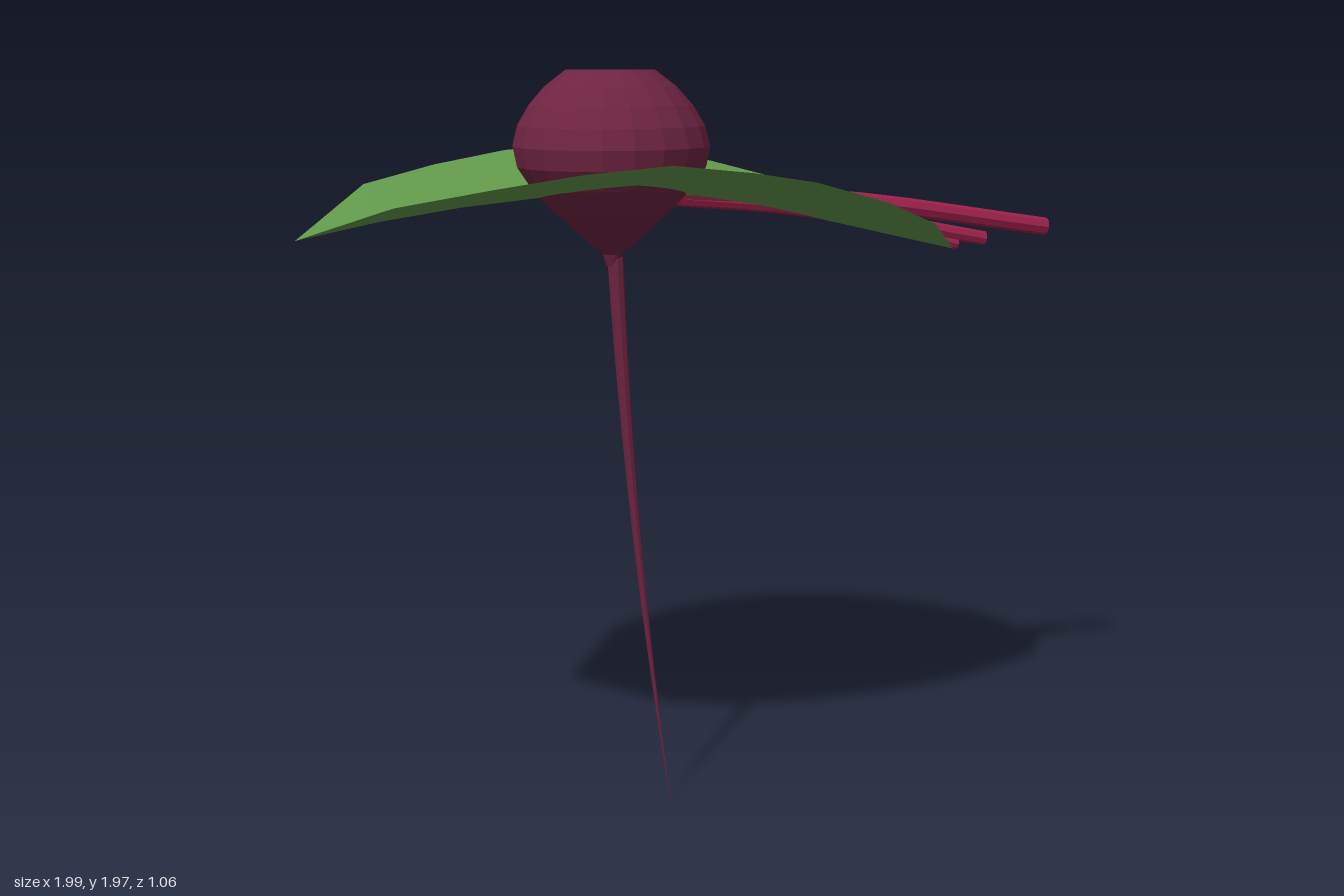
import * as THREE from 'three';

const mat = (name, color, extra = {}) => {
  const m = new THREE.MeshStandardMaterial({ color, flatShading: true, ...extra });
  m.name = name;
  return m;
};

export function createModel() {
  const group = new THREE.Group();
  const skin = mat('beet skin', 0x6e2441);
  const stalk = mat('stalk red', 0x9a2049);
  const green = mat('leaf green', 0x62994a, { side: THREE.DoubleSide });
  const add = (name, geo, material) => {
    const mesh = new THREE.Mesh(geo, material);
    mesh.name = name;
    group.add(mesh);
    return mesh;
  };

  // Bulb: turned profile with a flat cut top and a pointed base
  const profile = [[0.015, 1.48], [0.025, 1.51], [0.06, 1.54], [0.11, 1.585], [0.16, 1.63], [0.205, 1.68],
    [0.238, 1.73], [0.248, 1.78], [0.235, 1.83], [0.205, 1.88], [0.165, 1.925], [0.112, 1.965], [0, 1.965]];
  const bulb = new THREE.LatheGeometry(profile.map(([r, y]) => new THREE.Vector2(r, y)), 20);
  add('bulb', bulb, skin).position.x = -0.218;

  // Tap root: tapering cylinder bent along a gentle curve
  const root = new THREE.CylinderGeometry(0.021, 0.001, 1.5, 8, 12);
  root.translate(0, 0.75, 0);
  const rp = root.attributes.position;
  for (let i = 0; i < rp.count; i++) {
    const t = rp.getY(i) / 1.5;
    rp.setX(i, rp.getX(i) - 0.07 - 0.215 * t + 0.075 * t * t);
  }
  root.computeVertexNormals();
  add('tapRoot', root, skin);

  // Leaf: stations of x, half width, midrib height and rim height
  const stations = [
    [-1, 0, 1.565, 1.565], [-0.8, 0.38, 1.605, 1.67], [-0.6, 0.48, 1.635, 1.712], [-0.4, 0.525, 1.655, 1.745],
    [-0.2, 0.528, 1.66, 1.762], [0, 0.495, 1.65, 1.74], [0.17, 0.44, 1.622, 1.712], [0.4, 0.325, 1.57, 1.65],
    [0.57, 0.22, 1.53, 1.585], [0.72, 0, 1.495, 1.495]];
  const across = [-1, -0.85, -0.6, -0.3, 0, 0.3, 0.6, 0.85, 1];
  const verts = [], faces = [];
  stations.forEach(([x, w, mid, rim], i) => across.forEach((s, j) => {
    verts.push(x, mid + (rim - mid) * Math.pow(Math.abs(s), 1.15), s * w);
    if (i && j) {
      const d = i * across.length + j, c = d - 1, b = d - across.length, a = b - 1;
      faces.push(a, b, d, a, d, c);
    }
  }));
  const leaf = new THREE.BufferGeometry();
  leaf.setAttribute('position', new THREE.Float32BufferAttribute(verts, 3));
  leaf.setIndex(faces);
  leaf.computeVertexNormals();
  add('leaf', leaf, green);

  // Stalks: three thin rods fanning out under and over the leaf
  const stalks = [
    [[-0.1, 1.66], [0.4, 1.632], [0.99, 1.547], 0.024],
    [[-0.1, 1.65], [0.35, 1.605], [0.81, 1.52], 0.019],
    [[-0.1, 1.645], [0.3, 1.605], [0.73, 1.508], 0.015]];
  stalks.forEach(([a, b, c, r], i) => {
    const points = [a, b, c].map(([x, y]) => new THREE.Vector3(x, y, 0));
    const path = new THREE.CatmullRomCurve3(points);
    add('stalk' + (i + 1), new THREE.TubeGeometry(path, 8, r, 8), stalk);
    // End cap facing along the stalk
    const cap = add('stalkEnd' + (i + 1), new THREE.CircleGeometry(r, 8), stalk);
    cap.position.copy(points[2]);
    cap.lookAt(points[2].clone().add(path.getTangent(1)));
  });

  return group;
}
